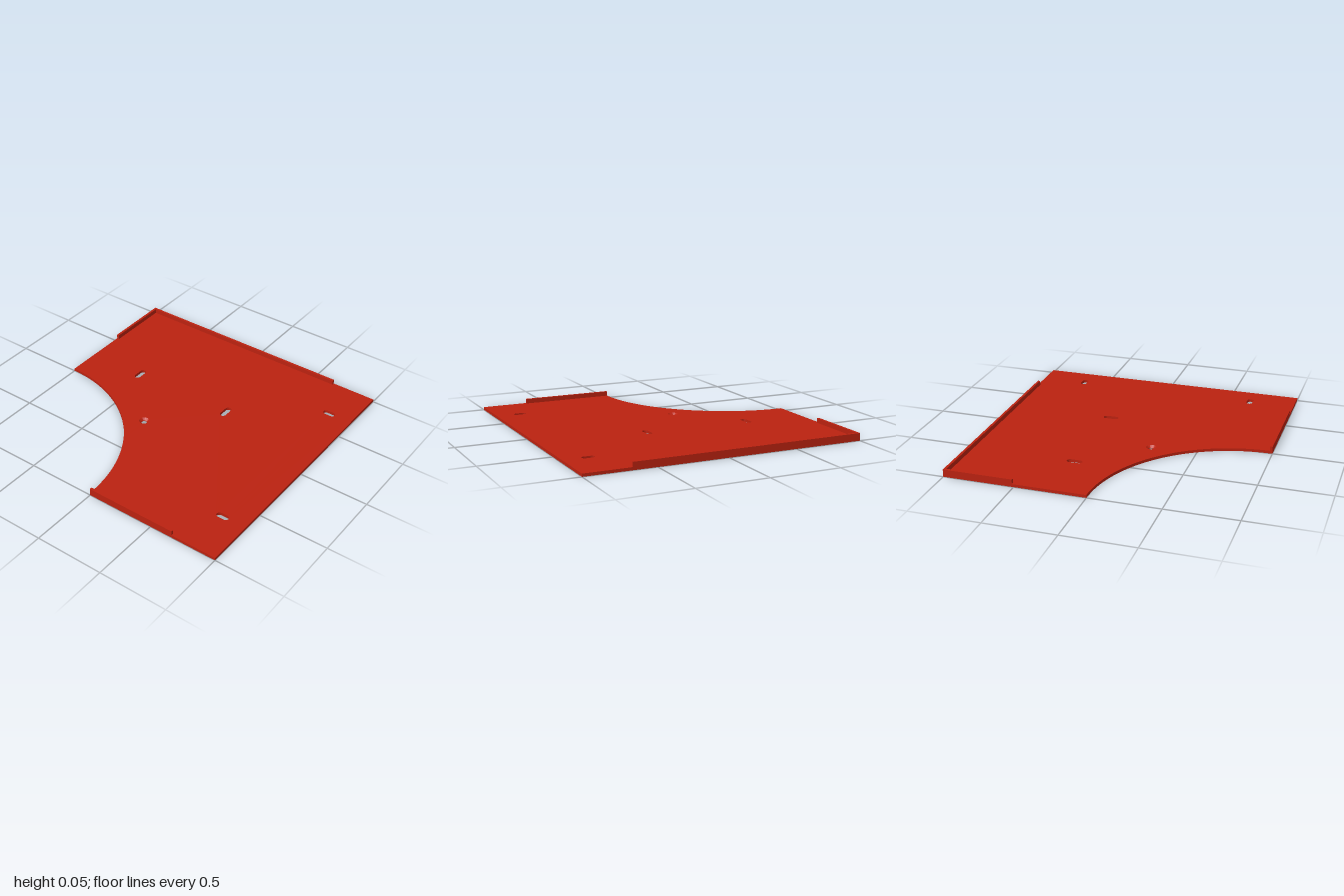
import * as THREE from 'three';
import { toCreasedNormals } from 'three/addons/utils/BufferGeometryUtils.js';

const T = 0.02;      // plate thickness
const TOP = 0.053;   // top of the raised lips
const LIP = 0.018;   // lip thickness

// Rounded slot outline; shape y is -z
function slot(x, z, halfX, halfZ) {
  const p = new THREE.Path();
  const r = Math.min(halfX, halfZ);
  const dx = halfX - r, dy = halfZ - r, y = -z;
  if (dx > 0) {
    p.absarc(x + dx, y, r, -Math.PI / 2, Math.PI / 2, false);
    p.absarc(x - dx, y, r, Math.PI / 2, Math.PI * 1.5, false);
  } else {
    p.absarc(x, y + dy, r, 0, Math.PI, false);
    p.absarc(x, y - dy, r, Math.PI, Math.PI * 2, false);
  }
  p.closePath();
  return p;
}

export function createModel() {
  const group = new THREE.Group();
  const red = new THREE.MeshStandardMaterial({ color: 0xbb2210 });
  red.name = 'red';

  function add(name, geometry, x = 0, y = 0, z = 0) {
    const mesh = new THREE.Mesh(geometry, red);
    mesh.name = name;
    mesh.position.set(x, y, z);
    group.add(mesh);
  }

  // Square plate with a quarter-circle cut from the back right corner
  const outline = new THREE.Shape();
  outline.moveTo(-1, -1);
  outline.lineTo(1, -1);
  outline.lineTo(1, 1);
  outline.lineTo(0, 1);
  outline.absarc(-1, 1, 1, 0, -Math.PI / 2, true);
  outline.closePath();

  // Four mounting slots and one round hole
  const hole = { x: -0.186, z: -0.187, r: 0.036 };
  outline.holes.push(
    slot(0.242, -0.558, 0.055, 0.022),
    slot(0.242, 0.219, 0.055, 0.022),
    slot(-0.667, 0.825, 0.022, 0.045),
    slot(0.667, 0.825, 0.022, 0.045),
    new THREE.Path().absarc(hole.x, -hole.z, hole.r, 0, Math.PI * 2, false)
  );
  const plate = new THREE.ExtrudeGeometry(outline, { depth: T, bevelEnabled: false, curveSegments: 32 });
  plate.rotateX(-Math.PI / 2);
  add('plate', toCreasedNormals(plate, 0.6));

  // Countersunk seat inside the round hole
  const seat = [[hole.r, T], [0.019, 0.005], [0.019, 0], [hole.r, 0]].map(p => new THREE.Vector2(...p));
  add('countersink', toCreasedNormals(new THREE.LatheGeometry(seat, 64), 0.6), hole.x, 0, hole.z);

  // Raised lips along the edges, given by their x and z ranges
  const lips = [
    ['leftLip', 1 - LIP, 1, -1, 0.667],
    ['rightLip', -1, -1 + LIP, 0, 0.667],
    ['backLip', 0.51, 1 - LIP, -1, -1 + LIP],
  ];
  for (const [name, x0, x1, z0, z1] of lips) {
    add(name, new THREE.BoxGeometry(x1 - x0, TOP - T, z1 - z0), (x0 + x1) / 2, (TOP + T) / 2, (z0 + z1) / 2);
  }
  return group;
}
